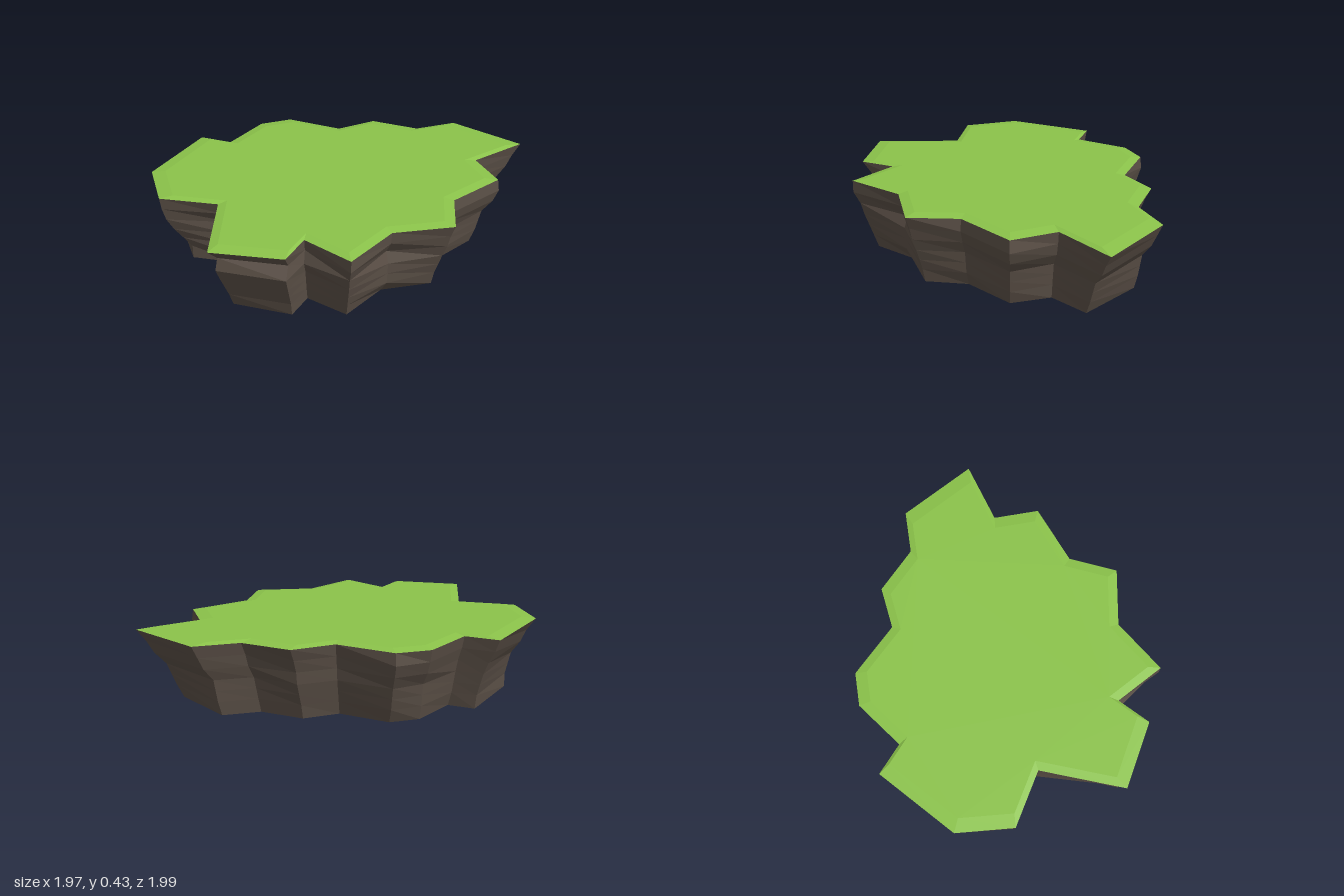
import * as THREE from 'three';

const grass = new THREE.MeshStandardMaterial({ color: 0x8bc34a });
grass.name = 'grass green';
const rock = new THREE.MeshStandardMaterial({ color: 0x5a4f46 });
rock.name = 'rock brown';

// Heights of the rock layers, from the rim down to the base
const HEIGHTS = [0.42, 0.35, 0.28, 0.21, 0.08, 0];

// Rim corners: x, z, then how far each lower layer is drawn in
const CORNERS = [
  [0.51, -1.0, 0.97, 0.94, 0.89, 0.87, 0.85],
  [0.98, -0.84, 0.96, 0.93, 0.88, 0.84, 0.81],
  [0.77, -0.52, 0.99, 0.97, 0.92, 0.9, 0.89],
  [0.95, -0.32, 1.01, 0.98, 0.92, 0.89, 0.86],
  [0.77, 0.01, 1.01, 0.98, 0.94, 0.92, 0.88],
  [0.85, 0.29, 0.97, 0.95, 0.92, 0.87, 0.85],
  [0.55, 0.47, 0.99, 0.93, 0.96, 0.95, 0.87],
  [0.44, 0.81, 1.0, 0.96, 0.94, 0.89, 0.86],
  [0.14, 0.7, 0.98, 1.02, 0.97, 0.93, 0.9],
  [0.12, 0.91, 0.94, 0.99, 0.96, 0.9, 0.88],
  [-0.28, 0.99, 0.93, 0.95, 0.92, 0.86, 0.83],
  [-0.45, 0.52, 0.96, 0.88, 0.91, 0.92, 0.85],
  [-0.79, 0.58, 0.99, 0.97, 0.93, 0.83, 0.83],
  [-0.99, 0.31, 0.95, 0.92, 0.87, 0.84, 0.84],
  [-0.93, -0.22, 0.97, 0.93, 0.9, 0.86, 0.85],
  [-0.73, -0.22, 0.98, 0.95, 0.93, 0.9, 0.87],
  [-0.66, -0.54, 0.98, 0.95, 0.9, 0.88, 0.86],
  [-0.51, -0.67, 1.01, 0.98, 0.94, 0.9, 0.86],
  [-0.16, -0.65, 0.98, 0.96, 0.95, 0.9, 0.87],
  [0.01, -0.84, 0.96, 0.93, 0.92, 0.87, 0.85],
  [0.31, -0.83, 0.97, 0.95, 0.91, 0.88, 0.86],
];

const ringAt = (y, scaleOf) =>
  CORNERS.map((c) => [c[0] * scaleOf(c), y, c[1] * scaleOf(c)]);

// Flat faceted band joining rings listed from top to bottom
function bandGeometry(rings) {
  const pos = [];
  for (let r = 0; r < rings.length - 1; r++) {
    const up = rings[r], low = rings[r + 1];
    for (let i = 0; i < up.length; i++) {
      const j = (i + 1) % up.length;
      pos.push(...low[i], ...up[i], ...up[j], ...low[i], ...up[j], ...low[j]);
    }
  }
  const geo = new THREE.BufferGeometry();
  geo.setAttribute('position', new THREE.Float32BufferAttribute(pos, 3));
  geo.computeVertexNormals();
  return geo;
}

// Flat cap filling a ring; side is 1 facing up, -1 facing down
function capGeometry(ring, side) {
  const shape = new THREE.Shape(ring.map(([x, , z]) => new THREE.Vector2(x, -side * z)));
  return new THREE.ShapeGeometry(shape).rotateX((-side * Math.PI) / 2).translate(0, ring[0][1], 0);
}

export function createModel() {
  const model = new THREE.Group();
  model.name = 'rockyPlateau';
  const add = (name, geo, mat) => {
    const mesh = new THREE.Mesh(geo, mat);
    mesh.name = name;
    model.add(mesh);
  };

  // Rock layers, with one extra layer halfway between the last wide gap
  const rings = HEIGHTS.map((y, k) => ringAt(y, (c) => (k === 0 ? 1 : c[k + 1])));
  rings.splice(4, 0, ringAt(0.145, (c) => (c[4] + c[5]) / 2));
  add('cliffSides', bandGeometry(rings), rock);
  add('rockBase', capGeometry(rings[rings.length - 1], -1), rock);

  // Grass top with a gently sloped border
  const lawn = ringAt(0.43, () => 0.92);
  add('grassBorder', bandGeometry([lawn, rings[0]]), grass);
  add('grassTop', capGeometry(lawn, 1), grass);

  return model;
}
